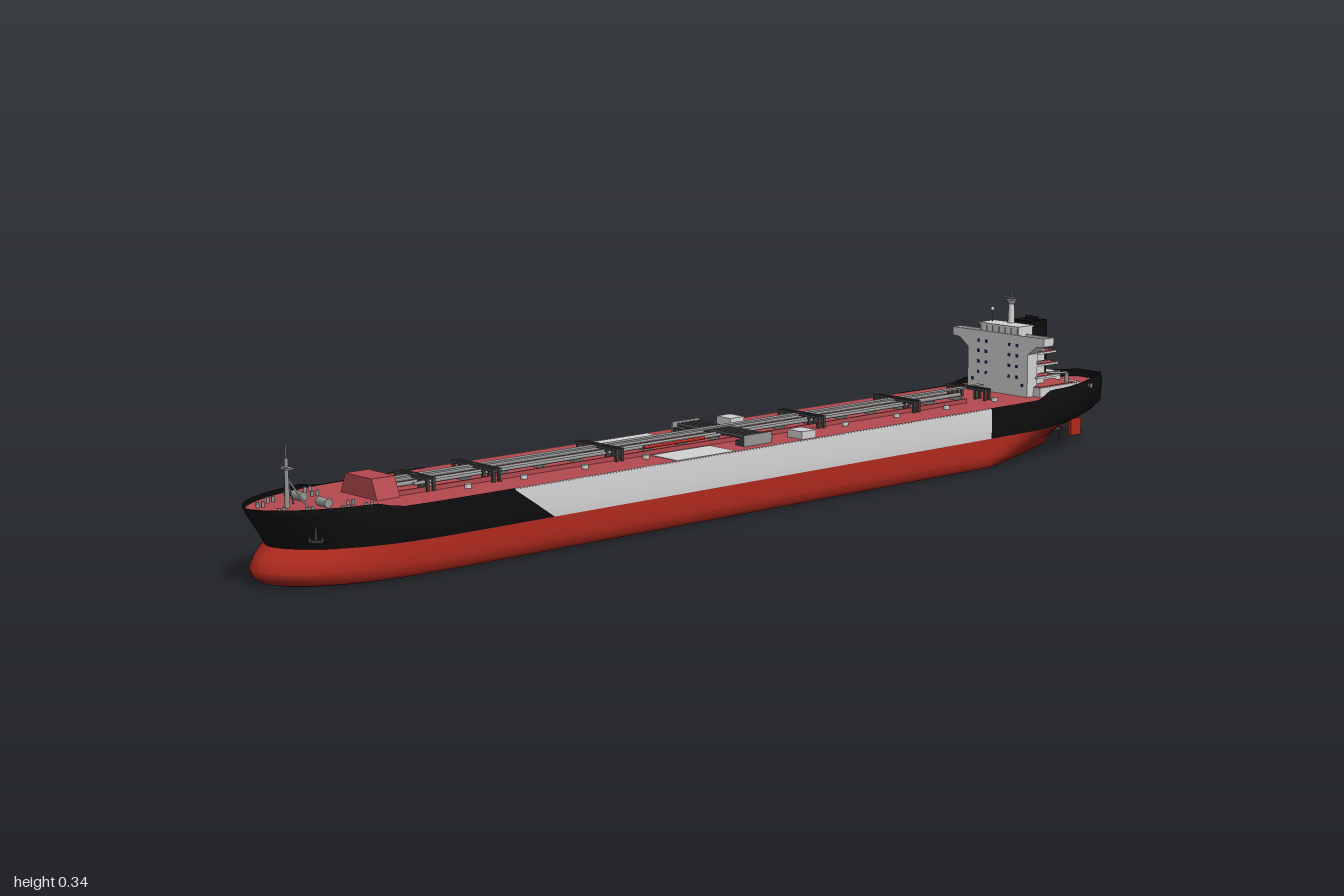
import * as THREE from 'three';

const mat = (name, color, side = THREE.FrontSide) => {
  const m = new THREE.MeshStandardMaterial({ color, side });
  m.name = name;
  return m;
};

export function createModel() {
  const ship = new THREE.Group();
  ship.name = 'tanker';
  const D = THREE.DoubleSide;
  const hullRed = mat('hull red', 0xb02a1e, D), deckRed = mat('deck red', 0xb54a50);
  const black = mat('black', 0x0d0d0d, D), white = mat('white', 0xd4d4d4, D);
  const gray = mat('gray', 0x979797), dark = mat('dark gray', 0x404040), blue = mat('window blue', 0x20265e);

  const add = (name, geo, m, x = 0, y = 0, z = 0, parent = ship) => {
    const mesh = new THREE.Mesh(geo, m);
    mesh.name = name;
    mesh.position.set(x, y, z);
    parent.add(mesh);
    return mesh;
  };
  // box given by its centre in x, its base in y and its centre in z
  const box = (name, m, w, h, d, x, y, z) => add(name, new THREE.BoxGeometry(w, h, d), m, x, y + h / 2, z);
  const rod = (name, m, a, b, r, r2 = r, sides = 8) => {
    const A = new THREE.Vector3(...a), B = new THREE.Vector3(...b), dir = B.clone().sub(A);
    const mesh = add(name, new THREE.CylinderGeometry(r2, r, dir.length(), sides), m);
    mesh.position.copy(A.add(B).multiplyScalar(0.5));
    mesh.quaternion.setFromUnitVectors(new THREE.Vector3(0, 1, 0), dir.normalize());
    return mesh;
  };

  // Hull water lines: y, half width, bow z, stern z, start of stern taper, stern width ratio, taper power
  const levels = [
    [0.003, 0.098, 0.955, -0.85, -0.57, 0.04, 1.2],
    [0.007, 0.113, 0.970, -0.86, -0.57, 0.04, 1.2],
    [0.016, 0.121, 0.984, -0.87, -0.58, 0.04, 1.3],
    [0.030, 0.124, 0.990, -0.89, -0.60, 0.05, 1.4],
    [0.048, 0.124, 0.978, -0.92, -0.64, 0.12, 1.5],
    [0.065, 0.124, 0.960, -0.965, -0.70, 0.27, 1.5],
    [0.080, 0.125, 0.968, -0.995, -0.76, 0.27, 1.5],
    [0.120, 0.124, 0.995, -1.0, -0.78, 0.27, 1.5],
    [0.123, 0.122, 1.0, -1.0, -0.78, 0.27, 1.5],
  ];
  const NB = 24, NM = 8, NS = 24;
  const point = (level, i) => {
    const [y0, B, zb, zs, start, end, pow] = level;
    const foreEdge = 0.49 + 0.08 * THREE.MathUtils.clamp((y0 - 0.065) / 0.055, 0, 1);
    let z, w = 1;
    if (i <= NB) z = zb + (foreEdge - zb) * (i / NB) ** 1.7;
    else if (i <= NB + NM) z = foreEdge + (-0.57 - foreEdge) * (i - NB) / NM;
    else z = -0.57 + (zs + 0.57) * Math.min(1, (i - NB - NM) / NS);
    const f = Math.max(0, (z - 0.65) / (zb - 0.65));
    w *= Math.max(0, 1 - f ** 3) ** 0.58;
    const s = Math.max(0, (start - z) / (start - zs));
    w *= 1 - (1 - end) * s ** pow;
    if (i > NB + NM + NS) w = 0; // closes the transom
    // bulwark rises and leans inwards at both ends
    let y = y0;
    if (y0 > 0.121) {
      const rise = 0.014 * THREE.MathUtils.smoothstep(-z, 0.7, 0.76) + 0.008 * THREE.MathUtils.smoothstep(z, 0.79, 0.83);
      y += rise;
      w *= 1 - rise * 6;
    }
    return [B * w, y, z];
  };
  const loft = (name, m, rows, i0, i1) => {
    const pos = [], idx = [], n = rows.length;
    for (let i = i0; i <= i1; i++) for (const [k, side] of rows) {
      const [x, y, z] = point(levels[k], i);
      pos.push(x * side, y, z);
    }
    for (let i = 0; i < i1 - i0; i++) for (let j = 0; j < n - 1; j++) {
      const a = i * n + j, b = a + n;
      idx.push(a, a + 1, b, b, a + 1, b + 1);
    }
    const g = new THREE.BufferGeometry();
    g.setAttribute('position', new THREE.Float32BufferAttribute(pos, 3));
    g.setIndex(idx);
    g.computeVertexNormals();
    add(name, g, m);
  };
  const last = NB + NM + NS + 1;
  const low = [0, 1, 2, 3, 4, 5];
  loft('lowerHull', hullRed, [...low.slice().reverse().map(k => [k, -1]), ...low.map(k => [k, 1])], 0, last);
  for (const s of [1, -1]) {
    const rows = [5, 6, 7, 8].map(k => [k, s]);
    if (s < 0) rows.reverse();
    loft('bowSide', black, rows, 0, NB);
    loft('midSide', white, rows, NB, NB + NM);
    loft('sternSide', black, rows, NB + NM, last);
  }

  // Main deck
  const outline = [];
  for (let i = 0; i < last; i++) outline.push(point(levels[7], i));
  const deckShape = new THREE.Shape([
    ...outline.map(([x, , z]) => new THREE.Vector2(x, -z)),
    ...outline.slice(1).reverse().map(([x, , z]) => new THREE.Vector2(-x, -z)),
  ]);
  add('mainDeck', new THREE.ShapeGeometry(deckShape).rotateX(-Math.PI / 2), deckRed, 0, 0.1215, 0);
  const Y = 0.1215;

  // Rudder and propeller
  box('rudder', hullRed, 0.008, 0.034, 0.03, 0, 0.01, -0.957);
  rod('rudderStock', hullRed, [0, 0.04, -0.952], [0, 0.075, -0.952], 0.004);
  rod('propellerShaft', dark, [0, 0.028, -0.87], [0, 0.028, -0.918], 0.005, 0.003);
  for (let i = 0; i < 4; i++) {
    const blade = add('propellerBlade', new THREE.SphereGeometry(1, 10, 6).scale(0.005, 0.009, 0.0015).translate(0, 0.01, 0), dark, 0, 0.028, -0.91);
    blade.rotation.set(0, 0.5, i * Math.PI / 2, 'ZYX');
  }

  // Longitudinal piping and catwalk
  for (const [x, r, z0, z1] of [[-0.034, 0.0035, -0.3, 0.73], [-0.022, 0.004, -0.6, 0.75], [0.013, 0.004, -0.6, 0.75], [0.024, 0.003, -0.45, 0.7]])
    rod('cargoPipe', gray, [x, 0.133, z0], [x, 0.133, z1], r);
  box('catwalk', gray, 0.014, 0.003, 1.43, -0.004, 0.14, 0.035);
  for (const x of [-0.042, 0.04]) box('deckGirder', deckRed, 0.004, 0.008, 1.34, x, Y, 0.08);
  rod('firePipe', hullRed, [0.034, 0.134, 0.08], [0.034, 0.134, 0.22], 0.003);
  for (let i = 0; i < 18; i++) box('pipeSupport', gray, 0.05, 0.008, 0.004, -0.004, Y, -0.6 + i * 0.079);

  // Pipe bridges across the deck
  for (const [z, w] of [[-0.64, 0.05], [-0.44, 0.054], [-0.19, 0.054], [0.29, 0.054], [0.555, 0.056], [0.68, 0.045]])
    for (const dz of [-0.006, 0.006]) {
      box('bridgeBeam', dark, 2 * w, 0.005, 0.006, 0, 0.139, z + dz);
      for (const x of [-w, -w / 2, w / 2, w]) box('bridgePost', dark, 0.005, 0.021, 0.005, x * 0.95, Y, z + dz);
    }

  // Cargo manifold
  for (let i = 0; i < 6; i++) rod('manifoldPipe', dark, [-0.088, 0.136, -0.014 + i * 0.009], [0.088, 0.136, -0.014 + i * 0.009], 0.0035);
  for (const s of [1, -1]) {
    box('dripTray', dark, 0.022, 0.009, 0.062, s * 0.083, Y, 0.009);
    box('manifoldRail', gray, 0.003, 0.02, 0.066, s * 0.095, Y, 0.009);
    box('storeBox', white, 0.038, 0.014, 0.034, s * 0.094, Y, -0.1);
    box('paintedDeckPatch', white, 0.07, 0.002, 0.136, s * 0.083, Y - 0.001, 0.148);
    for (const z of [-0.645, -0.51, -0.375, -0.24, -0.05, 0.24, 0.375, 0.505, 0.62])
      add('tankHatch', new THREE.CylinderGeometry(0.006, 0.006, 0.007, 10), white, s * 0.063, Y + 0.0035, z);
  }

  // Forward store with a sloping roof edge
  const store = new THREE.Shape([[-0.05, 0], [0.05, 0], [0.036, 0.033], [-0.036, 0.033]].map(p => new THREE.Vector2(...p)));
  add('forwardStore', new THREE.ExtrudeGeometry(store, { depth: 0.045, bevelEnabled: false }), deckRed, 0, Y, 0.745);

  // Foremast
  rod('foremast', gray, [0, Y, 0.925], [0, 0.2, 0.925], 0.0045, 0.003);
  rod('foremastTop', gray, [0, 0.2, 0.925], [0, 0.222, 0.925], 0.0015);
  box('foremastPlatform', gray, 0.022, 0.003, 0.014, 0, 0.183, 0.925);
  for (const s of [1, -1]) {
    rod('foremastStay', gray, [s * 0.02, Y, 0.9], [0, 0.17, 0.925], 0.0015);
    // Mooring gear and anchors on the bow
    rod('windlass', gray, [s * 0.022, Y + 0.008, 0.88], [s * 0.048, Y + 0.008, 0.88], 0.008);
    for (const [x, z] of [[0.085, 0.83], [0.08, 0.87], [0.055, 0.92], [0.03, 0.955], [0.05, 0.84], [0.085, -0.9], [0.05, -0.94]])
      for (const dz of [-0.005, 0.005]) rod('bollard', gray, [s * x, Y, z + dz], [s * x, Y + 0.009, z + dz], 0.0028);
    const anchor = new THREE.Group();
    anchor.name = 'anchor';
    anchor.position.set(s * 0.081, 0.088, 0.927);
    anchor.rotation.y = s * 0.75;
    ship.add(anchor);
    add('anchorShank', new THREE.BoxGeometry(0.004, 0.022, 0.005), dark, 0, 0.003, 0, anchor);
    add('anchorCrown', new THREE.BoxGeometry(0.022, 0.004, 0.006), dark, 0, -0.007, 0, anchor);
    for (const t of [1, -1]) add('anchorFluke', new THREE.ConeGeometry(0.003, 0.013, 6), dark, t * 0.01, 0, 0, anchor);
  }

  // Accommodation block
  box('houseBase', white, 0.19, 0.018, 0.11, 0, Y, -0.795);
  box('houseBaseDeck', deckRed, 0.184, 0.002, 0.104, 0, Y + 0.0175, -0.795);
  const front = new THREE.Shape([[-0.078, 0.12], [0.078, 0.12], [0.078, 0.205], [0.1, 0.222], [0.119, 0.224], [0.119, 0.232],
    [-0.119, 0.232], [-0.119, 0.224], [-0.1, 0.222], [-0.078, 0.205]].map(p => new THREE.Vector2(...p)));
  add('houseFront', new THREE.ExtrudeGeometry(front, { depth: 0.028, bevelEnabled: false }), white, 0, 0, -0.75);
  box('houseBody', white, 0.12, 0.11, 0.045, 0, Y, -0.77);
  box('bridgeDeck', deckRed, 0.234, 0.002, 0.026, 0, 0.231, -0.736);
  for (const z of [-0.7235, -0.7485]) box('wingBulwark', white, 0.238, 0.009, 0.003, 0, 0.231, z);
  for (const s of [1, -1]) box('wingEndBulwark', white, 0.003, 0.009, 0.028, s * 0.1175, 0.231, -0.736);
  [0.155, 0.178, 0.2, 0.222].forEach((y, i) => {
    const w = 0.165 - i * 0.012;
    box('rearBalcony', white, w, 0.004, 0.07, 0, y, -0.78);
    box('rearBalconyDeck', deckRed, w - 0.006, 0.001, 0.064, 0, y + 0.0038, -0.78);
    for (const s of [1, -1]) rod('balconyRail', gray, [s * w / 2, y + 0.011, -0.75], [s * w / 2, y + 0.011, -0.814], 0.001);
  });
  box('wheelhouse', white, 0.1, 0.022, 0.042, 0, 0.232, -0.746);
  box('wheelhouseRoof', white, 0.104, 0.003, 0.046, 0, 0.253, -0.746);
  for (let i = 0; i < 7; i++) box('wheelhouseMullion', gray, 0.0015, 0.014, 0.002, -0.048 + i * 0.016, 0.238, -0.7245);
  for (const x of [-0.05, -0.03, 0.03, 0.05])
    for (const y of [0.155, 0.176, 0.197, 0.217]) box('window', blue, 0.005, 0.006, 0.002, x, y, -0.7215);
  for (const x of [-0.065, 0.065]) box('window', blue, 0.005, 0.006, 0.002, x, 0.1405, -0.7215);

  // Funnel and casing
  box('engineCasing', white, 0.07, 0.032, 0.06, 0, Y, -0.84);
  box('funnel', black, 0.05, 0.108, 0.046, 0, 0.15, -0.815);
  for (const x of [-0.012, 0, 0.012]) rod('exhaustPipe', black, [x, 0.255, -0.818], [x, 0.264, -0.822], 0.004);
  box('aftStore', white, 0.13, 0.012, 0.018, 0, Y, -0.885);
  for (const s of [1, -1]) {
    rod('craneMast', gray, [s * 0.085, Y, -0.83], [s * 0.085, 0.16, -0.83], 0.004);
    rod('craneJib', gray, [s * 0.085, 0.16, -0.83], [s * 0.085, 0.165, -0.775], 0.0025);
  }

  // Radar mast
  rod('radarMast', white, [0, 0.254, -0.76], [0, 0.295, -0.76], 0.007, 0.0055, 12);
  rod('mastPlatform', white, [0, 0.293, -0.76], [0, 0.302, -0.76], 0.005, 0.011, 12);
  rod('mastPole', gray, [0, 0.302, -0.76], [0, 0.338, -0.76], 0.002, 0.001);
  rod('mastAerial', gray, [0.009, 0.302, -0.765], [0.009, 0.318, -0.765], 0.0008);
  box('radarScanner', gray, 0.024, 0.003, 0.004, 0, 0.306, -0.752);
  rod('domePost', gray, [-0.04, 0.255, -0.75], [-0.04, 0.278, -0.75], 0.0008);
  add('satelliteDome', new THREE.SphereGeometry(0.004, 12, 8), white, -0.04, 0.281, -0.75);
  return ship;
}
